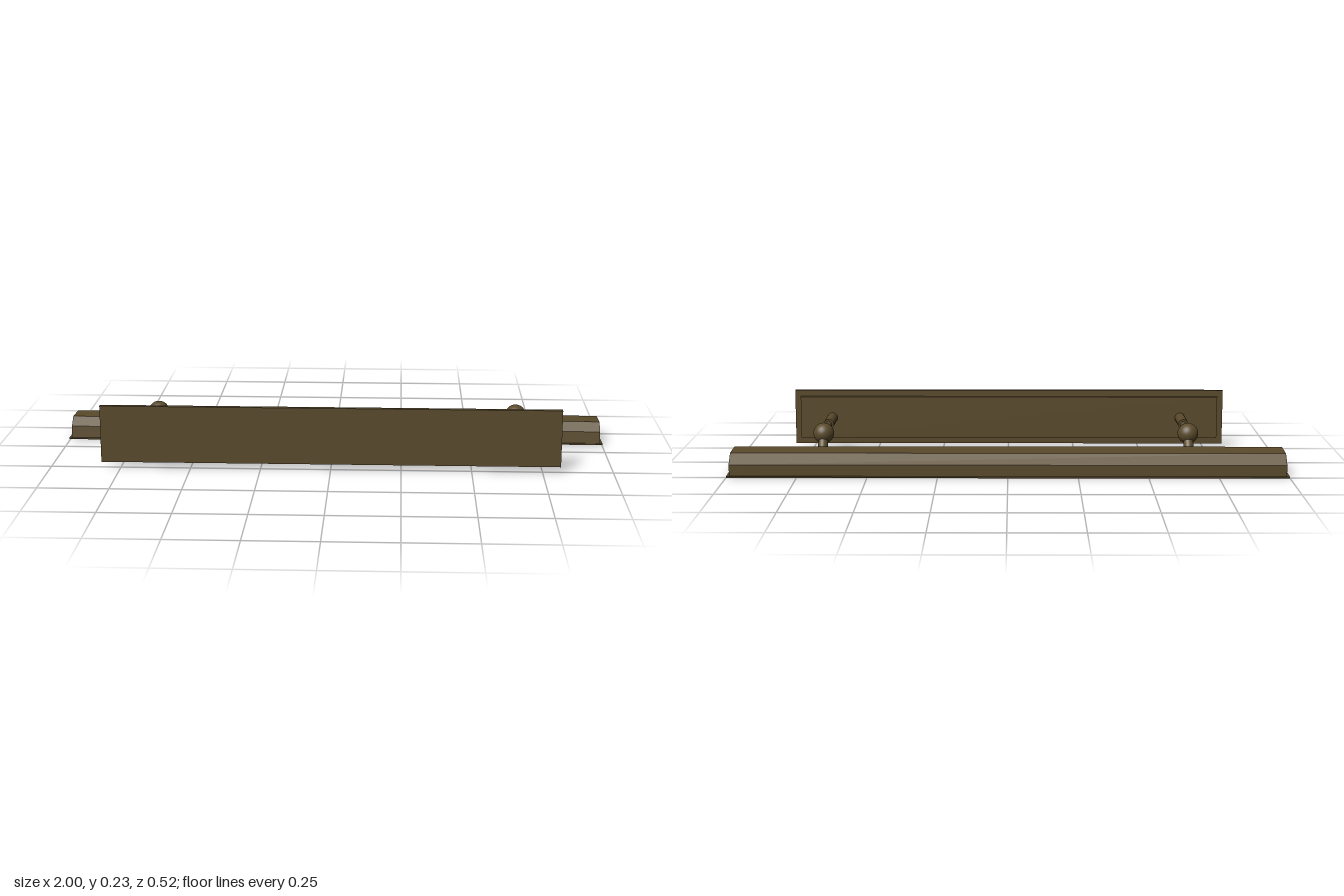
import * as THREE from 'three';

const bronze = new THREE.MeshStandardMaterial({ color: 0x5a4a2b, side: THREE.DoubleSide });
const grey = new THREE.MeshStandardMaterial({ color: 0xcccccc });
const ARM_Y = 0.124, BALL_Z = -0.064, TILT = -0.038;

function add(parent, name, geometry, material = bronze) {
  const mesh = new THREE.Mesh(geometry, material);
  mesh.name = name;
  parent.add(mesh);
  return mesh;
}

function box(parent, name, w, h, d, x, y, z, material) {
  const mesh = add(parent, name, new THREE.BoxGeometry(w, h, d), material);
  mesh.position.set(x, y, z);
  return mesh;
}

// Cylinder between two points of the (z, y) plane
function rod(parent, name, radius, z0, y0, z1, y1) {
  const a = new THREE.Vector3(0, y0, z0), b = new THREE.Vector3(0, y1, z1);
  const mesh = add(parent, name, new THREE.CylinderGeometry(radius, radius, a.distanceTo(b), 32));
  mesh.position.copy(a).add(b).multiplyScalar(0.5);
  mesh.quaternion.setFromUnitVectors(new THREE.Vector3(0, 1, 0), b.sub(a).normalize());
  return mesh;
}

// Outline in (z, y) extruded along x, centred at x
function alongX(points, length, x) {
  const shape = new THREE.Shape(points.map(([z, y]) => new THREE.Vector2(z, y)));
  const g = new THREE.ExtrudeGeometry(shape, { depth: length, bevelEnabled: false });
  return g.translate(0, 0, -length / 2).rotateY(-Math.PI / 2).translate(x, 0, 0);
}

function rectangle(PathType, w, h) {
  return new PathType([[-w, -h], [w, -h], [w, h], [-w, h]].map(([x, y]) => new THREE.Vector2(x / 2, y / 2)));
}

// Long trough open at the bottom, with end caps, rim and lamp
function buildShade() {
  const shade = new THREE.Group();
  shade.name = 'shade';
  const outer = [[-0.079, 0.011], [-0.084, 0.055], [-0.116, 0.085], [-0.213, 0.081], [-0.25, 0.046], [-0.25, 0.005]];
  const inner = [[-0.083, 0.011], [-0.088, 0.053], [-0.117, 0.081], [-0.211, 0.077], [-0.246, 0.044], [-0.246, 0.005]];
  add(shade, 'shadeShell', alongX([...outer, ...inner.reverse()], 1.98, 0));
  for (const side of [-1, 1]) add(shade, 'shadeEndCap', alongX(outer, 0.005, side * 0.9875));

  const frame = rectangle(THREE.Shape, 2, 0.184);
  frame.holes.push(rectangle(THREE.Path, 1.97, 0.164));
  const rim = new THREE.ExtrudeGeometry(frame, { depth: 0.005, bevelEnabled: false });
  rim.rotateX(-Math.PI / 2).rotateX(TILT).translate(0, 0.0036, -0.165);
  add(shade, 'shadeRim', rim);

  box(shade, 'lamp', 1.86, 0.066, 0.046, 0, 0.045, -0.167, grey).rotation.x = TILT;
  return shade;
}

// Telescoping arm, ball joint and stem down to the shade
function buildArm(x) {
  const arm = new THREE.Group();
  arm.name = 'arm';
  arm.position.x = x;
  rod(arm, 'armSleeve', 0.0195, 0.23, ARM_Y, 0.095, ARM_Y);
  rod(arm, 'armRod', 0.0125, 0.1, ARM_Y, -0.01, ARM_Y);
  rod(arm, 'armCollar', 0.0195, 0.002, ARM_Y, -0.04, ARM_Y);
  rod(arm, 'shadeStem', 0.018, BALL_Z, ARM_Y, -0.108, 0.065);
  const ball = add(arm, 'ballJoint', new THREE.SphereGeometry(0.0375, 32, 20).rotateZ(Math.PI / 2));
  ball.position.set(0, ARM_Y, BALL_Z);
  return arm;
}

export function createModel() {
  const model = new THREE.Group();
  model.name = 'pictureLight';

  // Stepped mounting plate
  box(model, 'mountingPlate', 1.632, 0.206, 0.017, -0.002, 0.125, 0.2505);
  box(model, 'plateStep', 1.588, 0.159, 0.016, -0.002, 0.1255, 0.236);

  for (const x of [-0.655, 0.672]) model.add(buildArm(x));
  model.add(buildShade());
  return model;
}
